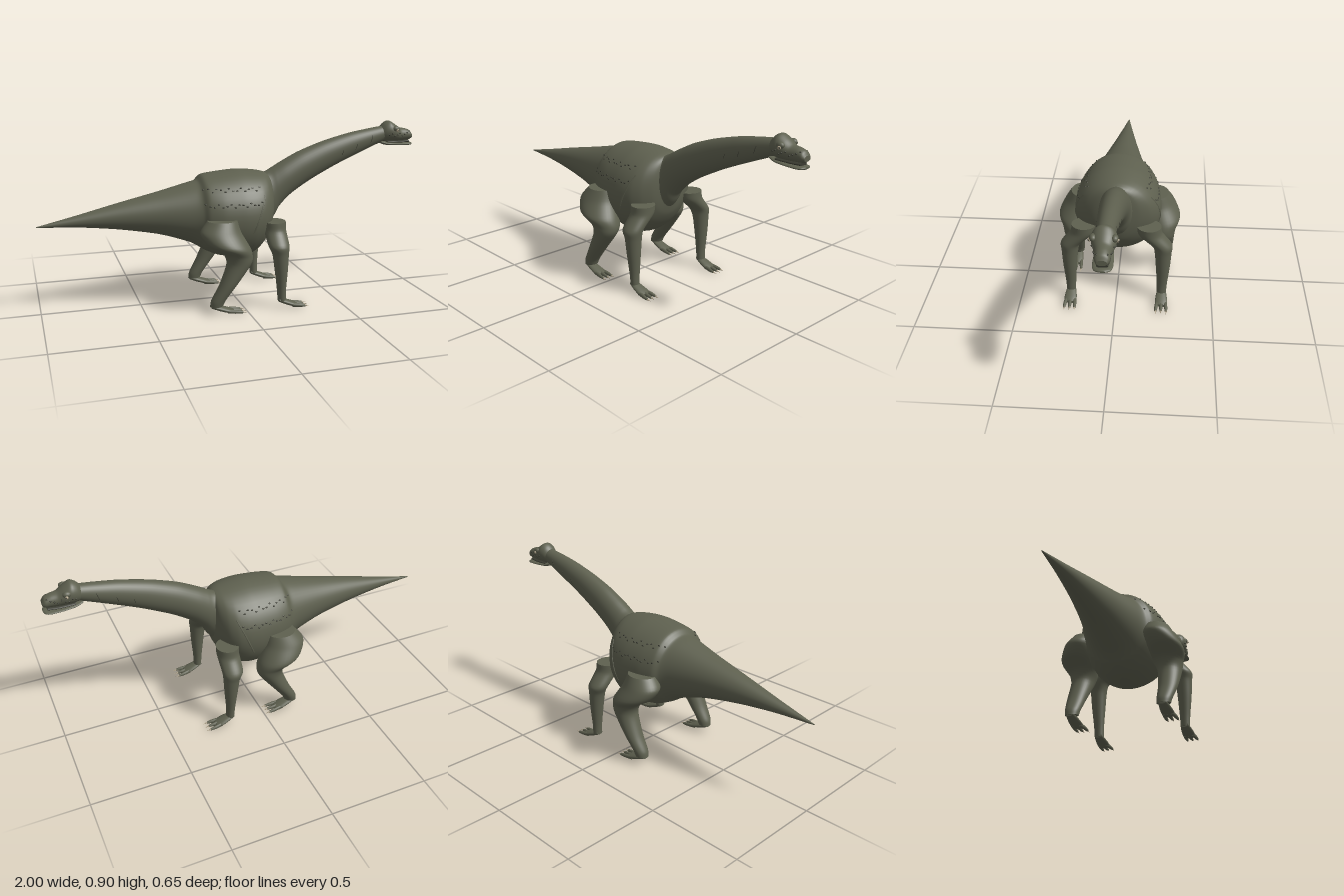
import * as THREE from 'three';
import { mergeGeometries } from 'three/addons/utils/BufferGeometryUtils.js';

const mat = (name, color) => {
  const m = new THREE.MeshStandardMaterial({ color });
  m.name = name;
  return m;
};

// A section is [ax, ay, bx, by, halfWidth, zCentre]: two opposite rim points in the
// side plane plus a half width in z. Sections are joined smoothly into a closed skin.
function loft(rows, sub = 5, sides = 36) {
  const a = new THREE.CatmullRomCurve3(rows.map(r => new THREE.Vector3(r[0], r[1], r[4])), false, 'catmullrom', 0.4);
  const b = new THREE.CatmullRomCurve3(rows.map(r => new THREE.Vector3(r[2], r[3], r[5] ?? 0)), false, 'catmullrom', 0.4);
  const n = (rows.length - 1) * sub, pos = [], idx = [], row = sides + 1;
  for (let i = 0; i <= n; i++) {
    const p = a.getPoint(i / n), q = b.getPoint(i / n);
    for (let j = 0; j <= sides; j++) {
      const t = (j % sides) / sides * Math.PI * 2, c = Math.cos(t) / 2;
      pos.push((p.x + q.x) / 2 + (p.x - q.x) * c, (p.y + q.y) / 2 + (p.y - q.y) * c,
        q.z + Math.max(p.z, 0.001) * Math.sin(t));
      if (i < n && j < sides) {
        const k = i * row + j;
        idx.push(k, k + 1, k + row, k + 1, k + row + 1, k + row);
      }
    }
  }
  // flat caps with their own rim so the end edges stay sharp
  for (const end of [0, n]) {
    const s = pos.length / 3;
    for (let j = 0; j < sides; j++) pos.push(...pos.slice((end * row + j) * 3, (end * row + j) * 3 + 3));
    for (let j = 1; j < sides - 1; j++) idx.push(s, ...(end ? [s + j, s + j + 1] : [s + j + 1, s + j]));
  }
  const g = new THREE.BufferGeometry();
  g.setAttribute('position', new THREE.Float32BufferAttribute(pos, 3));
  g.setIndex(idx);
  g.computeVertexNormals();
  // share normals across the seam
  const nm = g.attributes.normal;
  for (let i = 0; i <= n; i++) {
    const k = i * row, e = k + sides;
    const v = new THREE.Vector3(nm.getX(k) + nm.getX(e), nm.getY(k) + nm.getY(e), nm.getZ(k) + nm.getZ(e)).normalize();
    nm.setXYZ(k, v.x, v.y, v.z);
    nm.setXYZ(e, v.x, v.y, v.z);
  }
  return g;
}

// Sections standing upright at x: [x, top, bottom, halfWidth]
const upright = (rows, z = 0) => rows.map(([x, t, b, w, dz = 0]) => [x, t, x, b, w, z + dz]);

// Half width of a lofted form at a given x and height
function surfaceZ(rows, x, y) {
  const mid = r => (r[0] + r[2]) / 2;
  let i = 0;
  while (i < rows.length - 2 && mid(rows[i + 1]) < x) i++;
  const r = rows[i], s = rows[i + 1], f = (x - mid(r)) / (mid(s) - mid(r));
  const at = k => r[k] + (s[k] - r[k]) * f;
  const d = (y - (at(1) + at(3)) / 2) / ((at(1) - at(3)) / 2);
  return at(4) * Math.sqrt(Math.max(0, 1 - d * d));
}

const BODY = upright([
  [-1, 0.452, 0.448, 0.002], [-0.8, 0.497, 0.437, 0.033], [-0.6, 0.545, 0.413, 0.067],
  [-0.4, 0.59, 0.375, 0.107], [-0.25, 0.627, 0.325, 0.145], [-0.2, 0.64, 0.298, 0.165],
  [-0.17, 0.667, 0.278, 0.19], [-0.1, 0.677, 0.246, 0.213], [0, 0.685, 0.228, 0.222],
  [0.06, 0.682, 0.235, 0.218], [0.11, 0.676, 0.265, 0.202], [0.15, 0.668, 0.31, 0.168],
  [0.18, 0.65, 0.36, 0.115], [0.2, 0.58, 0.43, 0.04],
]);

const NECK = [
  [0.1, 0.64, 0.16, 0.36, 0.1], [0.175, 0.668, 0.215, 0.43, 0.078], [0.21, 0.687, 0.24, 0.475, 0.074],
  [0.26, 0.715, 0.3, 0.535, 0.071], [0.35, 0.76, 0.4, 0.6, 0.065], [0.48, 0.807, 0.54, 0.672, 0.057],
  [0.63, 0.846, 0.66, 0.725, 0.05], [0.76, 0.868, 0.78, 0.775, 0.042], [0.85, 0.88, 0.84, 0.8, 0.037],
];

const SKULL = upright([
  [0.81, 0.865, 0.803, 0.028], [0.835, 0.893, 0.797, 0.045], [0.862, 0.905, 0.794, 0.053],
  [0.895, 0.887, 0.794, 0.05], [0.925, 0.866, 0.794, 0.039], [0.96, 0.86, 0.796, 0.034],
  [0.985, 0.85, 0.799, 0.031], [0.998, 0.832, 0.806, 0.022],
]);

const JAW = upright([
  [0.815, 0.8, 0.785, 0.025], [0.85, 0.793, 0.774, 0.036], [0.91, 0.788, 0.771, 0.042],
  [0.965, 0.787, 0.769, 0.042], [0.99, 0.786, 0.77, 0.033], [1, 0.783, 0.775, 0.015],
]);

// Leg sections run from the flat top down: front point, back point, half width, z centre
const HIND = [
  [-0.04, 0.47, -0.19, 0.47, 0.065, 0.193], [-0.025, 0.41, -0.23, 0.415, 0.083, 0.208],
  [0.015, 0.335, -0.2, 0.36, 0.092, 0.231], [0.028, 0.29, -0.125, 0.31, 0.072, 0.23],
  [0.018, 0.25, -0.105, 0.255, 0.06, 0.235], [-0.05, 0.16, -0.145, 0.15, 0.049, 0.241],
  [-0.11, 0.08, -0.185, 0.075, 0.039, 0.239], [-0.125, 0.05, -0.192, 0.042, 0.034, 0.238],
];
const FORE = [
  [0.222, 0.44, 0.108, 0.44, 0.062, 0.165], [0.222, 0.395, 0.11, 0.395, 0.061, 0.174],
  [0.22, 0.33, 0.114, 0.33, 0.051, 0.233], [0.216, 0.285, 0.133, 0.285, 0.043, 0.239],
  [0.212, 0.2, 0.146, 0.2, 0.036, 0.24], [0.205, 0.1, 0.159, 0.1, 0.027, 0.238],
  [0.205, 0.04, 0.164, 0.04, 0.024, 0.237],
];

export function createModel() {
  const model = new THREE.Group();
  model.name = 'longNeckedDinosaur';
  const skin = mat('olive skin', 0x5e604f);
  const dark = mat('dark scale', 0x3a3b31);
  const claw = mat('pale horn', 0xb3a68c);
  const add = (name, geo, m, parent = model) => {
    const mesh = new THREE.Mesh(geo, m);
    mesh.name = name;
    parent.add(mesh);
    return mesh;
  };
  const ball = (x, y, z, r, sx = 1, sy = 1, sz = 1) =>
    new THREE.SphereGeometry(r, 14, 10).scale(sx, sy, sz).translate(x, y, z);
  const tube = (pts, r) =>
    new THREE.TubeGeometry(new THREE.CatmullRomCurve3(pts), 16, r, 6);

  add('bodyAndTail', loft(BODY, 6, 48), skin);
  add('neck', loft(NECK, 6), skin);

  const head = new THREE.Group();
  head.name = 'head';
  model.add(head);
  add('skull', loft(SKULL), skin, head);
  add('lowerJaw', loft(JAW), skin, head);
  add('mouthInside', loft(upright([[0.85, 0.799, 0.784, 0.03], [0.93, 0.799, 0.784, 0.031], [0.98, 0.8, 0.784, 0.024]])), dark, head);

  // Foot with three toes, each ending in a claw
  function foot(x, z, k, name) {
    const g = new THREE.Group();
    g.name = name;
    model.add(g);
    add('sole', loft(upright([
      [x, 0.056, 0.034, 0.02], [x + 0.035 * k, 0.046, 0.018, 0.028],
      [x + 0.075 * k, 0.031, 0.005, 0.032], [x + 0.1 * k, 0.02, 0.004, 0.024],
    ], z), 4, 20), skin, g);
    for (const d of [-1, 0, 1]) {
      add('toe', loft(upright([
        [x + 0.07 * k, 0.026, 0.005, 0.009, d * 0.02], [x + 0.11 * k, 0.021, 0.002, 0.009, d * 0.025],
        [x + 0.138 * k, 0.014, 0.002, 0.006, d * 0.027],
      ], z), 4, 12), skin, g);
      add('claw', new THREE.ConeGeometry(0.005, 0.03 * k, 10).rotateZ(-Math.PI / 2 - 0.1)
        .translate(x + 0.147 * k, 0.007, z + d * 0.027), claw, g);
    }
  }

  for (const s of [1, -1]) {
    const side = s > 0 ? 'right' : 'left';
    const flip = rows => rows.map(r => [...r.slice(0, 5), r[5] * s]);
    add(side + 'HindLeg', loft(flip(HIND)), skin);
    add(side + 'ForeLeg', loft(flip(FORE)), skin);
    foot(-0.185, 0.238 * s, 1.13, side + 'HindFoot');
    foot(0.168, 0.237 * s, 0.98, side + 'ForeFoot');

    // Rows of small scales along the flank
    const scales = [];
    [0.61, 0.54].forEach((y0, r) => {
      for (let i = 0; i < 15; i++) {
        const x = -0.19 + i * 0.02, y = y0 + 0.008 * Math.sin(i * 2.3 + r);
        scales.push(ball(x, y, s * surfaceZ(BODY, x, y), 0.005, 1.3, 0.8, 0.8));
      }
    });
    add(side + 'FlankScales', mergeGeometries(scales), dark);

    // Slanted shoulder fold
    const fold = [0, 0.25, 0.5, 0.75, 1].map(t => {
      const x = 0.04 + 0.075 * t, y = 0.39 + 0.19 * t;
      return new THREE.Vector3(x, y, s * surfaceZ(BODY, x, y));
    });
    add(side + 'ShoulderFold', tube(fold, 0.004), skin);

    // Short wrinkles on the neck
    for (const [x, y] of [[0.58, 0.745], [0.66, 0.775], [0.75, 0.815]]) {
      const pts = [-1, 0, 1].map(t => {
        const px = x + t * 0.006, py = y + t * 0.018;
        return new THREE.Vector3(px, py, s * surfaceZ(NECK, px, py));
      });
      add(side + 'NeckWrinkle', tube(pts, 0.0015), dark);
    }

    // Face: brow, eye, nostril and cheek scales
    add(side + 'Brow', ball(0.888, 0.864, 0.044 * s, 0.017, 1.2, 0.9, 0.9), skin, head);
    add(side + 'Eye', ball(0.892, 0.856, 0.056 * s, 0.008), claw, head);
    add(side + 'Pupil', ball(0.896, 0.857, 0.061 * s, 0.004), dark, head);
    add(side + 'Nostril', ball(0.975, 0.845, 0.021 * s, 0.005, 1.3, 0.8, 0.8), dark, head);
    const cheek = [];
    for (let i = 0; i < 8; i++) {
      const x = 0.85 + i * 0.016, y = 0.832 + 0.008 * Math.sin(i * 2.1);
      cheek.push(ball(x, y, s * surfaceZ(SKULL, x, y), 0.004));
    }
    add(side + 'CheekScales', mergeGeometries(cheek), dark, head);
  }
  return model;
}
